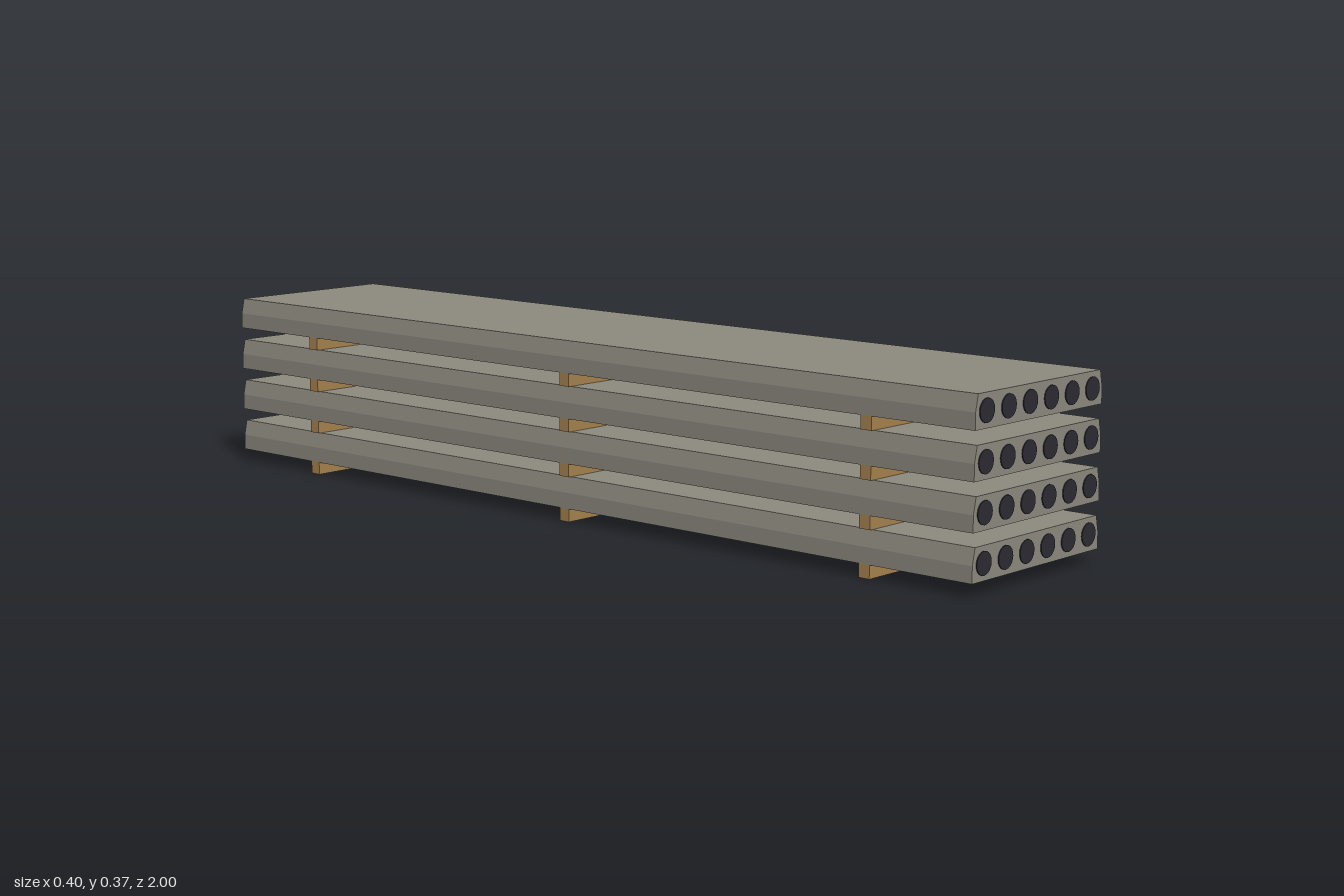
import * as THREE from 'three';

const LAYERS = 4, PITCH = 0.0915, BEARER_H = 0.0265, SLAB_H = 0.065;
const HALF_W = 0.2, TOP_HALF_W = 0.193, HALF_L = 0.998;

function material(name, color) {
  const m = new THREE.MeshStandardMaterial({ color });
  m.name = name;
  return m;
}

export function createModel() {
  const model = new THREE.Group();
  model.name = 'slabStack';
  const concrete = material('concrete', 0x8e8a80);
  const wood = material('wood', 0xa8834f);
  const dark = material('darkCore', 0x2b2b33);

  const add = (name, geometry, mat, x, y, z) => {
    const mesh = new THREE.Mesh(geometry, mat);
    mesh.name = name;
    mesh.position.set(x, y, z);
    model.add(mesh);
  };

  // Slab section: straight lower sides, upper half leaning inward
  const section = new THREE.Shape([
    [-HALF_W, 0], [HALF_W, 0], [HALF_W, SLAB_H / 2],
    [TOP_HALF_W, SLAB_H], [-TOP_HALF_W, SLAB_H], [-HALF_W, SLAB_H / 2],
  ].map(([x, y]) => new THREE.Vector2(x, y)));
  const slabGeo = new THREE.ExtrudeGeometry(section, { depth: 2 * HALF_L, bevelEnabled: false });
  slabGeo.translate(0, 0, -HALF_L);

  const bearerGeo = new THREE.BoxGeometry(2 * HALF_W, BEARER_H, 0.025);
  const coreGeo = new THREE.CylinderGeometry(0.0225, 0.0225, 0.004, 20).rotateX(Math.PI / 2);

  for (let i = 0; i < LAYERS; i++) {
    const y = i * PITCH;
    // Timber bearers below each slab
    for (const z of [-0.758, 0, 0.758]) add('bearer', bearerGeo, wood, 0, y + BEARER_H / 2, z);
    add('slab', slabGeo, concrete, 0, y + BEARER_H, 0);
    // Dark core openings on both ends
    for (const end of [-1, 1]) {
      for (let c = 0; c < 6; c++) {
        add('coreOpening', coreGeo, dark, (c - 2.5) / 15, y + BEARER_H + SLAB_H / 2, end * HALF_L);
      }
    }
  }
  return model;
}
